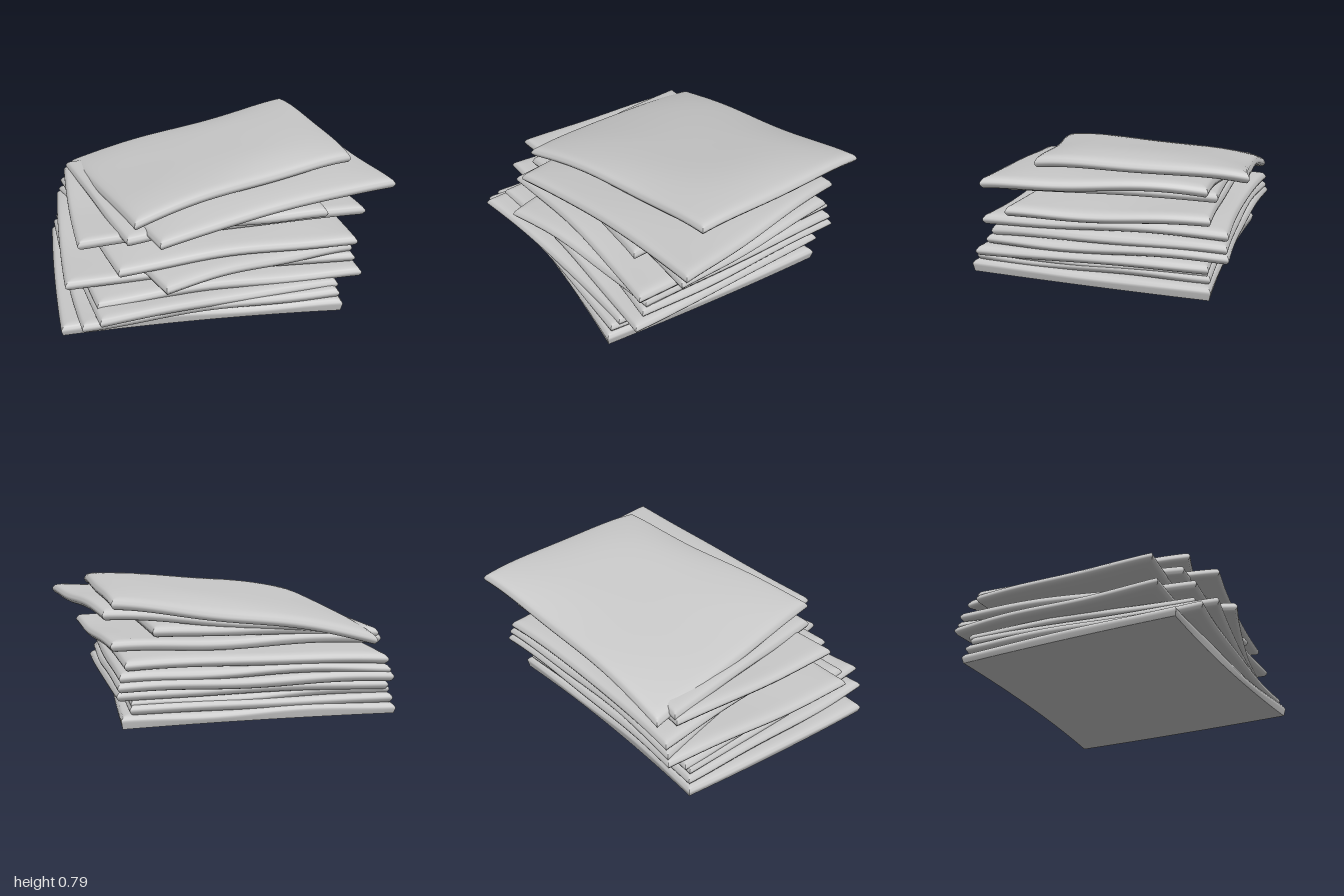
import * as THREE from 'three';
import { mergeVertices } from 'three/addons/utils/BufferGeometryUtils.js';

// Lower sheets, bottom to top: front-left x, z; front-right x, z (as seen from the front);
// x of the back-right corner, z of the back edge; height at the left edge, right edge and middle
const LOWER = [
  [-1.0, 0.64, 0.6, 0.82, 0.74, -0.63, 0.03, 0.045, 0.035],
  [-0.9, 0.75, 0.59, 0.79, 0.69, -0.62, 0.09, 0.1, 0.085],
  [-0.81, 0.81, 0.6, 0.74, 0.68, -0.6, 0.14, 0.13, 0.13],
  [-0.8, 0.68, 0.75, 0.73, 0.76, -0.62, 0.17, 0.18, 0.19],
  [-0.95, 0.53, 0.73, 0.67, 0.77, -0.73, 0.24, 0.25, 0.25],
  [-0.44, 0.81, 0.72, 0.64, 0.76, -0.72, 0.28, 0.3, 0.32],
  [-0.67, 0.65, 0.73, 0.69, 0.73, -0.72, 0.34, 0.365, 0.38],
  [-0.86, 0.47, 0.86, 0.5, 0.79, -0.63, 0.45, 0.46, 0.455],
  [-0.6, 0.56, 0.57, 0.61, 0.56, -0.63, 0.48, 0.53, 0.53]
];

function lowerSheet([lx, lz, rx, rz, bx, bz, yl, yr, mid], i) {
  return {
    back: [[-0.87 + 0.015 * i, yl, bz - 0.02], [bx, yr, bz]],
    front: [[lx, yl, lz], [rx, yr, rz]],
    mid
  };
}

// The two top sheets are skewed and sag to the left
const UPPER = [
  {
    back: [[-0.66, 0.48, -0.66], [0.83, 0.63, -0.62]],
    front: [[-0.45, 0.51, 0.72], [1.0, 0.65, 0.58]],
    mid: 0.61
  },
  {
    back: [[-0.71, 0.45, -0.74], [0.81, 0.715, -0.83]],
    front: [[-0.56, 0.58, 0.585], [0.82, 0.735, 0.335]],
    mid: 0.68
  }
];

// Soft sheet: a subdivided slab warped onto four corners, with a thin rounded rim
function sheetGeometry({ back: [bl, br], front: [fl, fr], mid }, index) {
  const box = new THREE.BoxGeometry(2, 2, 2, 36, 4, 36);
  box.deleteAttribute('normal');
  box.deleteAttribute('uv');
  const geo = mergeVertices(box);
  const p = geo.attributes.position;
  const mean = (bl[1] + br[1] + fr[1] + fl[1]) / 4;
  const seed = index * 1.9;
  for (let i = 0; i < p.count; i++) {
    const h = p.getY(i);
    // Crowd the grid lines toward the rim
    let u = Math.sin(p.getX(i) * Math.PI / 2);
    let v = Math.sin(p.getZ(i) * Math.PI / 2);
    const edge = Math.min(1 - Math.abs(u), 1 - Math.abs(v));
    const a = 1 - Math.min(1, edge / 0.07);
    const half = 0.034 * (0.5 + 0.5 * Math.sqrt(1 - a * a));
    const round = 1 - 0.012 * h * h;
    u *= round;
    v *= round;
    const mix = (k) => ((bl[k] * (1 - u) + br[k] * (1 + u)) * (1 - v)
      + (fl[k] * (1 - u) + fr[k] * (1 + u)) * (1 + v)) / 4;
    // Side edges bulge slightly, front and back edges draw in
    const x = mix(0) + 0.012 * u * (1 - v * v);
    const z = mix(2) - 0.03 * v * (1 - u * u);
    // Swell toward the middle, ripple toward the rim
    const swell = (mid - mean) * (1 - 0.7 * u ** 4 - 0.7 * v ** 4 + 0.4 * u ** 4 * v ** 4);
    const rim = Math.max(u * u, v * v) * (1 - u * u * v * v);
    const ripple = 0.016 * rim * Math.sin(3.4 * u + seed) * Math.cos(2.6 * v - seed);
    const y = mix(1) + swell + ripple + h * half;
    // The bottom sheet lies flat on the ground
    const flat = index === 0 && h < -0.9;
    p.setXYZ(i, x, flat ? 0 : Math.max(0.004, y), z);
  }
  geo.computeVertexNormals();
  return geo;
}

export function createModel() {
  const group = new THREE.Group();
  group.name = 'sheetStack';
  const grey = new THREE.MeshStandardMaterial({ color: 0xc8c8c8 });
  grey.name = 'grey';
  [...LOWER.map(lowerSheet), ...UPPER].forEach((sheet, i) => {
    const mesh = new THREE.Mesh(sheetGeometry(sheet, i), grey);
    mesh.name = `sheet${i + 1}`;
    group.add(mesh);
  });
  return group;
}
